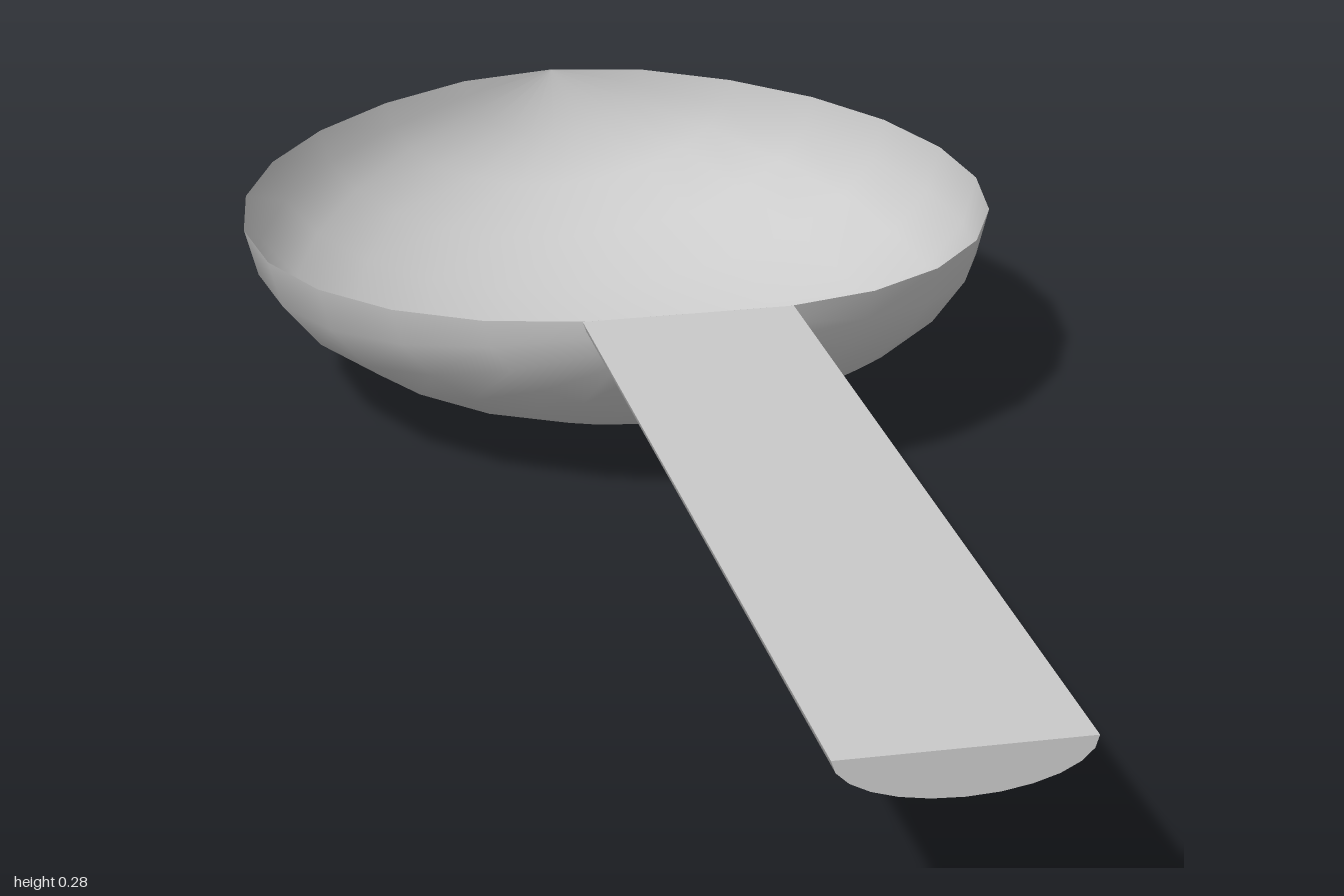
import * as THREE from 'three';
import { ParametricGeometry } from 'three/addons/geometries/ParametricGeometry.js';
import { toCreasedNormals } from 'three/addons/utils/BufferGeometryUtils.js';

const R = 0.434, DEPTH = 0.215, CENTRE_Z = -0.566;
const START = Math.PI / 12; // the bowl is cut flat here, where the handle joins

// Point on the bowl: theta runs from handle to tip, phi from rim to rim under it
function bowlPoint(phi, theta, target) {
  const s = Math.sin(theta);
  const rim = Math.min(0.24, 0.2447 - 0.0683 * R * s);
  const bottom = Math.min(rim, DEPTH * (1 - s));
  const sag = s < 1e-6 ? 0 : (rim - bottom) * Math.sin(phi);
  return target.set(R * s * Math.cos(phi), rim - sag, CENTRE_Z + R * Math.cos(theta));
}

export function createModel() {
  const group = new THREE.Group();
  const material = new THREE.MeshStandardMaterial({ color: 0xcccccc, side: THREE.DoubleSide });
  const add = (name, geometry) => {
    const mesh = new THREE.Mesh(geometry, material);
    mesh.name = name;
    group.add(mesh);
    return mesh;
  };

  // Thin open bowl with a gently dipping rim
  const bowl = new ParametricGeometry(
    (u, v, t) => bowlPoint(u * Math.PI, START + v * (Math.PI - START), t), 12, 11);
  bowl.computeVertexNormals();
  add('bowl', bowl);

  // Flat wall closing the bowl at the handle
  const wallPoints = [];
  for (let i = 0; i <= 12; i++) {
    const p = bowlPoint(Math.PI * i / 12, START, new THREE.Vector3());
    wallPoints.push(new THREE.Vector2(p.x, p.y));
  }
  const wall = add('bowlWall', new THREE.ShapeGeometry(new THREE.Shape(wallPoints)));
  wall.position.z = CENTRE_Z + R * Math.cos(START);

  // Half-round handle, flat on top, rising slightly towards its end
  const section = new THREE.Shape();
  for (let i = 0; i <= 12; i++) {
    const a = Math.PI * (1 + i / 12);
    const x = 0.116 * Math.cos(a), y = 0.045 * Math.sin(a);
    if (i === 0) section.moveTo(x, y); else section.lineTo(x, y);
  }
  section.closePath();
  const tilt = Math.atan2(0.048, 1.143);
  const handle = add('handle', toCreasedNormals(
    new THREE.ExtrudeGeometry(section, { depth: 1.144, bevelEnabled: false, steps: 1 }), 0.9));
  handle.position.set(0, 0.237, -0.147);
  handle.rotation.x = -tilt;

  return group;
}
